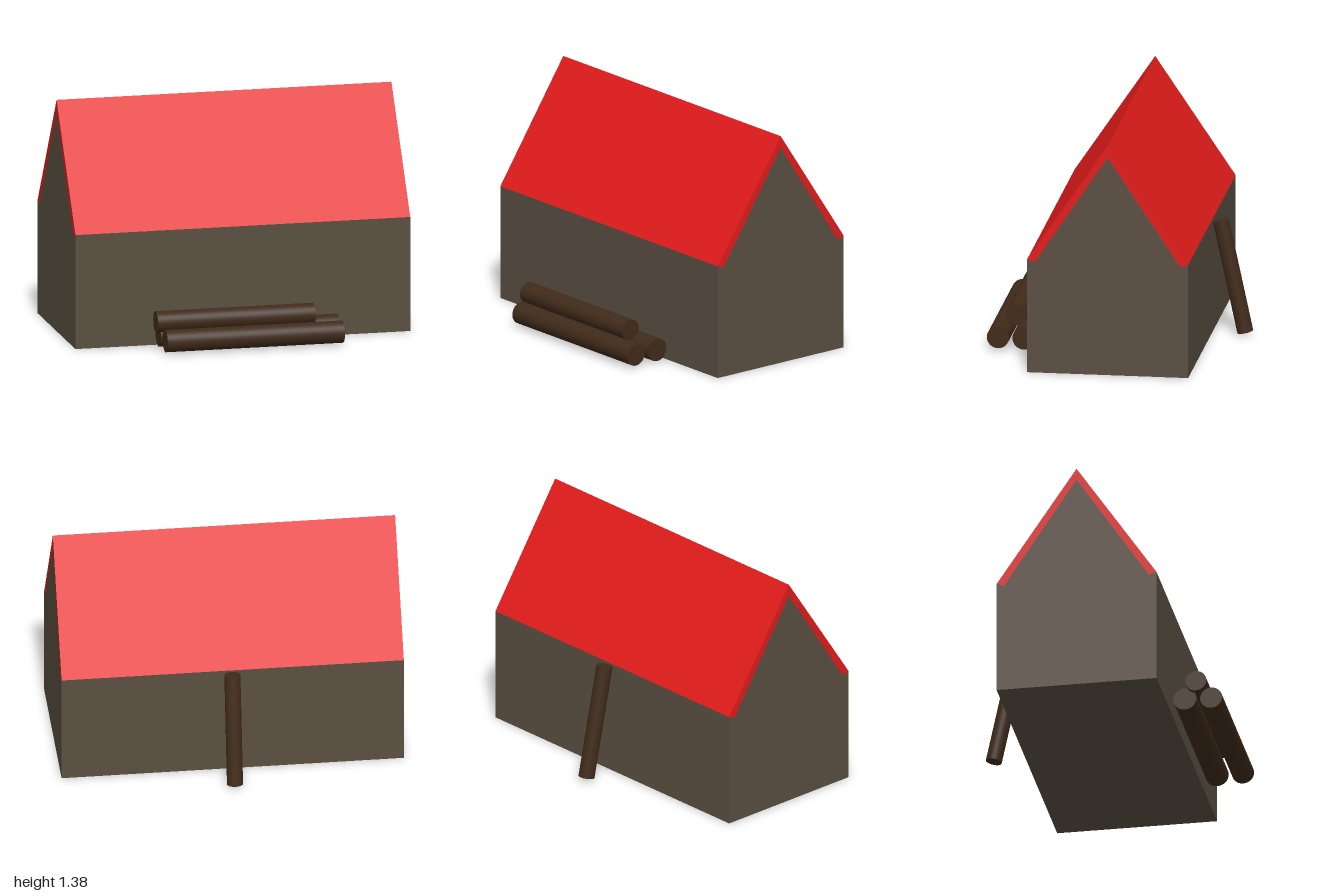
import * as THREE from 'three';

const wallMat = new THREE.MeshStandardMaterial({ color: 0x5a4f41 });
const roofMat = new THREE.MeshStandardMaterial({ color: 0xe21b1b });
const logMat = new THREE.MeshStandardMaterial({ color: 0x402b1a });

const LENGTH = 2;
const HALF = 0.472; // half depth of the house
const EAVE = 0.68;
const RIDGE = 1.38;

// Extrudes a (z, y) profile along the length of the house
function prism(name, points, material) {
  const shape = new THREE.Shape(points.map(([z, y]) => new THREE.Vector2(z, y)));
  const geo = new THREE.ExtrudeGeometry(shape, { depth: LENGTH, bevelEnabled: false });
  geo.translate(0, 0, -LENGTH / 2);
  geo.rotateY(-Math.PI / 2);
  const mesh = new THREE.Mesh(geo, material);
  mesh.name = name;
  return mesh;
}

// Round log between two end points
function log(name, from, to, radius) {
  const a = new THREE.Vector3(...from);
  const b = new THREE.Vector3(...to);
  const dir = b.clone().sub(a);
  const mesh = new THREE.Mesh(new THREE.CylinderGeometry(radius, radius, dir.length(), 32), logMat);
  mesh.position.copy(a).add(b).multiplyScalar(0.5);
  mesh.quaternion.setFromUnitVectors(new THREE.Vector3(0, 1, 0), dir.normalize());
  mesh.name = name;
  return mesh;
}

export function createModel() {
  const model = new THREE.Group();
  model.name = 'cabin';

  // House: solid gabled body with a roof layer flush with its ends
  const house = new THREE.Group();
  house.name = 'house';
  house.position.z = -0.027;
  const innerEave = [HALF - 0.045, 0.665];
  const innerRidge = [0, 1.31];
  house.add(prism('walls', [
    [-HALF, 0], [HALF, 0], [HALF, EAVE], innerEave,
    innerRidge, [-innerEave[0], innerEave[1]], [-HALF, EAVE],
  ], wallMat));
  house.add(prism('roof', [
    [HALF, EAVE], [0, RIDGE], [-HALF, EAVE],
    [-innerEave[0], innerEave[1]], innerRidge, innerEave,
  ], roofMat));
  model.add(house);

  // Stack of three logs in front
  const pile = new THREE.Group();
  pile.name = 'logPile';
  pile.add(
    log('innerLog', [-0.525, 0.077, 0.527], [0.545, 0.077, 0.527], 0.068),
    log('outerLog', [-0.52, 0.075, 0.681], [0.538, 0.075, 0.681], 0.065),
    log('topLog', [-0.557, 0.173, 0.597], [0.385, 0.173, 0.597], 0.062),
  );
  model.add(pile);

  // Single log leaning on the back eave
  model.add(log('leaningLog', [0.008, 0.019, -0.696], [0.008, 0.685, -0.553], 0.047));

  return model;
}
